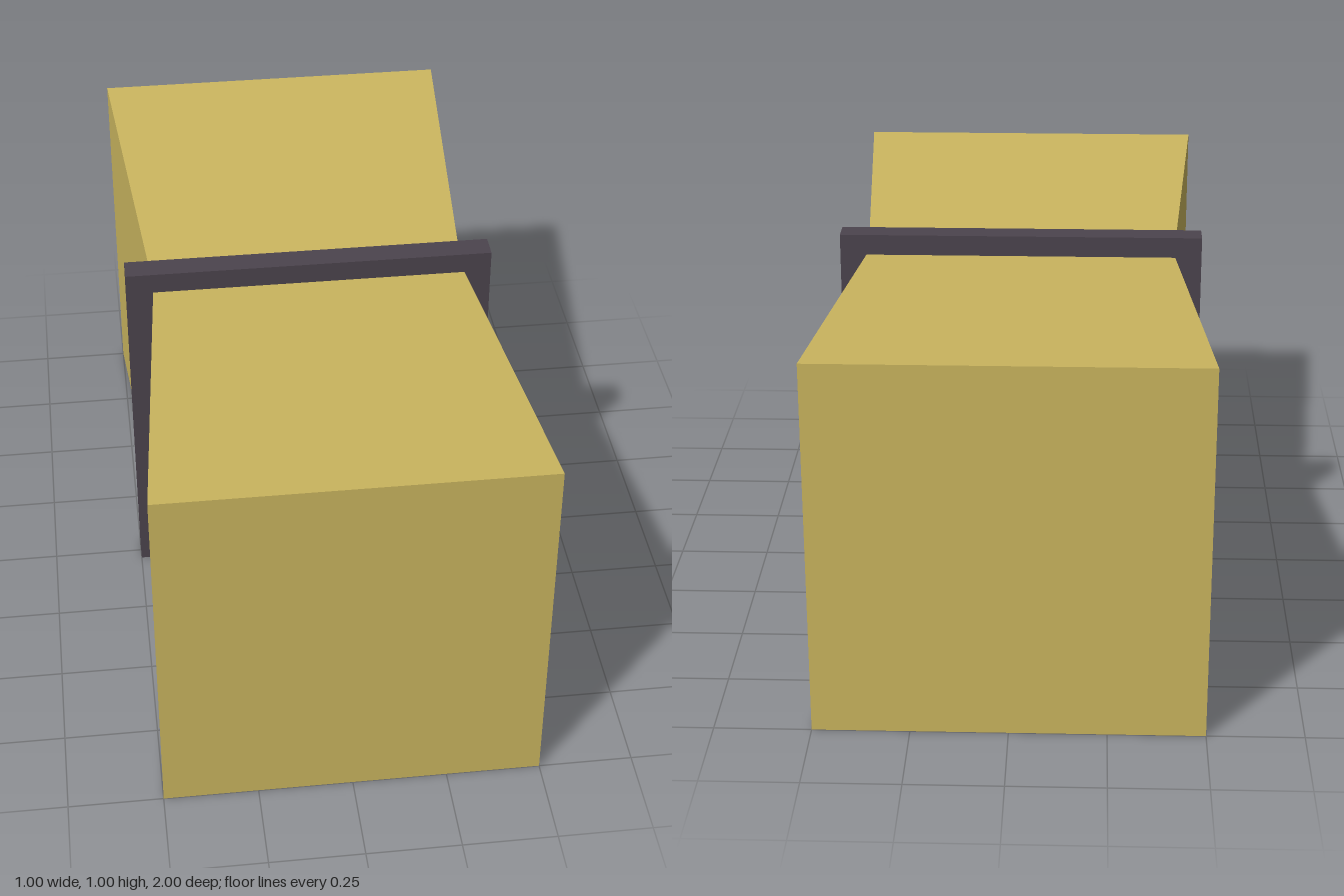
import * as THREE from 'three';

const BAND = 0.035; // half the thickness of the strap

// Half of the bale: a box narrowed towards the strap, flat underneath
function baleHalfGeometry() {
  const geometry = new THREE.BoxGeometry(1, 1, 1 - BAND);
  geometry.translate(0, 0.5, (1 + BAND) / 2);
  const p = geometry.attributes.position;
  for (let i = 0; i < p.count; i++) {
    if (p.getZ(i) < 0.5) {
      p.setX(i, p.getX(i) * 0.855);
      p.setY(i, p.getY(i) * 0.943);
    }
  }
  geometry.computeVertexNormals();
  return geometry;
}

export function createModel() {
  const straw = new THREE.MeshStandardMaterial({ name: 'straw', color: 0xcbb65f, flatShading: true });
  const strapDark = new THREE.MeshStandardMaterial({ name: 'darkStrap', color: 0x4c444e, flatShading: true });

  const model = new THREE.Group();
  model.name = 'strawBale';

  // Front and back halves of the bale
  const half = baleHalfGeometry();
  ['frontBaleHalf', 'backBaleHalf'].forEach((name, i) => {
    const mesh = new THREE.Mesh(half, straw);
    mesh.name = name;
    mesh.rotation.y = i * Math.PI;
    model.add(mesh);
  });

  // Strap pinching the middle
  const strap = new THREE.Mesh(new THREE.BoxGeometry(1, 1, BAND * 2), strapDark);
  strap.name = 'strap';
  strap.position.y = 0.5;
  model.add(strap);

  return model;
}
